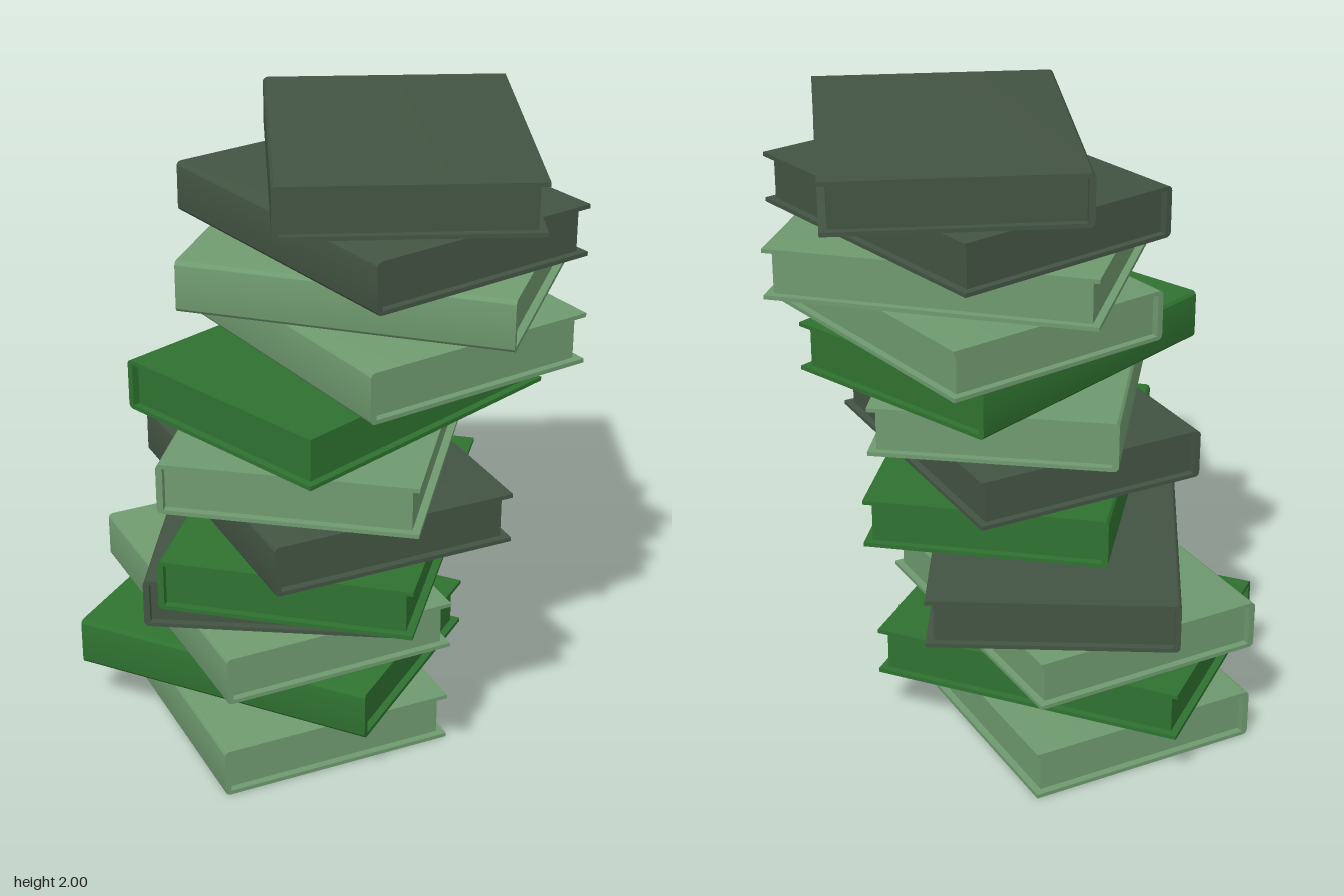
import * as THREE from 'three';
import { toCreasedNormals } from 'three/addons/utils/BufferGeometryUtils.js';

const LENGTH = 1.03, DEPTH = 0.78, HEIGHT = 0.162;
const BOARD = 0.013, SPINE = 0.02, INSET = 0.024, ROUND = 0.016;

// C-shaped binding: two boards joined by a spine with rounded edges, spine facing +z
function bindingGeometry() {
  const d = DEPTH / 2, h = HEIGHT;
  const s = new THREE.Shape();
  s.moveTo(-d, 0);
  s.lineTo(d - ROUND, 0);
  s.absarc(d - ROUND, ROUND, ROUND, -Math.PI / 2, 0, false);
  s.absarc(d - ROUND, h - ROUND, ROUND, 0, Math.PI / 2, false);
  s.lineTo(-d, h);
  s.lineTo(-d, h - BOARD);
  s.lineTo(d - SPINE, h - BOARD);
  s.lineTo(d - SPINE, BOARD);
  s.lineTo(-d, BOARD);
  s.closePath();
  const g = new THREE.ExtrudeGeometry(s, { depth: LENGTH, bevelEnabled: false, curveSegments: 4 });
  g.translate(0, 0, -LENGTH / 2).rotateY(-Math.PI / 2);
  return toCreasedNormals(g, Math.PI / 5);
}

// page block, set back from the boards on the three open sides
function pagesGeometry() {
  const depth = DEPTH - SPINE - INSET;
  const g = new THREE.BoxGeometry(LENGTH - 2 * INSET, HEIGHT - 2 * BOARD, depth);
  return g.translate(0, HEIGHT / 2, (INSET - SPINE) / 2);
}

export function createModel() {
  const stack = new THREE.Group();
  stack.name = 'bookStack';
  const material = (color) => new THREE.MeshStandardMaterial({ color });
  const light = material(0x6f9a6f), green = material(0x2f7230), dark = material(0x435443);
  const binding = bindingGeometry(), pages = pagesGeometry();

  // bottom to top: base height, centre x, centre z, turn in degrees, colour
  const books = [
    [0, -0.13, 0.13, -14, light],
    [0.17, -0.135, 0.125, 25.8, green],
    [0.336, -0.137, 0.123, -13, light],
    [0.501, -0.142, 0.065, -44, dark],
    [0.681, 0.137, 0.127, -52, green],
    [0.849, 0.13, 0.127, -13.6, dark],
    [1.013, 0.127, 0.127, -50, light],
    [1.179, 0.127, 0.062, -83, green],
    [1.345, 0.142, -0.09, -5, light],
    [1.51, 0.132, -0.09, 34.4, light],
    [1.676, 0.127, -0.09, -2.8, dark],
    [1.838, 0.13, -0.16, -35.9, dark],
  ];

  books.forEach(([y, x, z, turn, mat], i) => {
    const book = new THREE.Group();
    book.name = `book${i + 1}`;
    const cover = new THREE.Mesh(binding, mat);
    cover.name = 'cover';
    const block = new THREE.Mesh(pages, mat);
    block.name = 'pages';
    book.add(cover, block);
    book.position.set(x, y, z);
    book.rotation.y = THREE.MathUtils.degToRad(turn);
    stack.add(book);
  });
  return stack;
}
